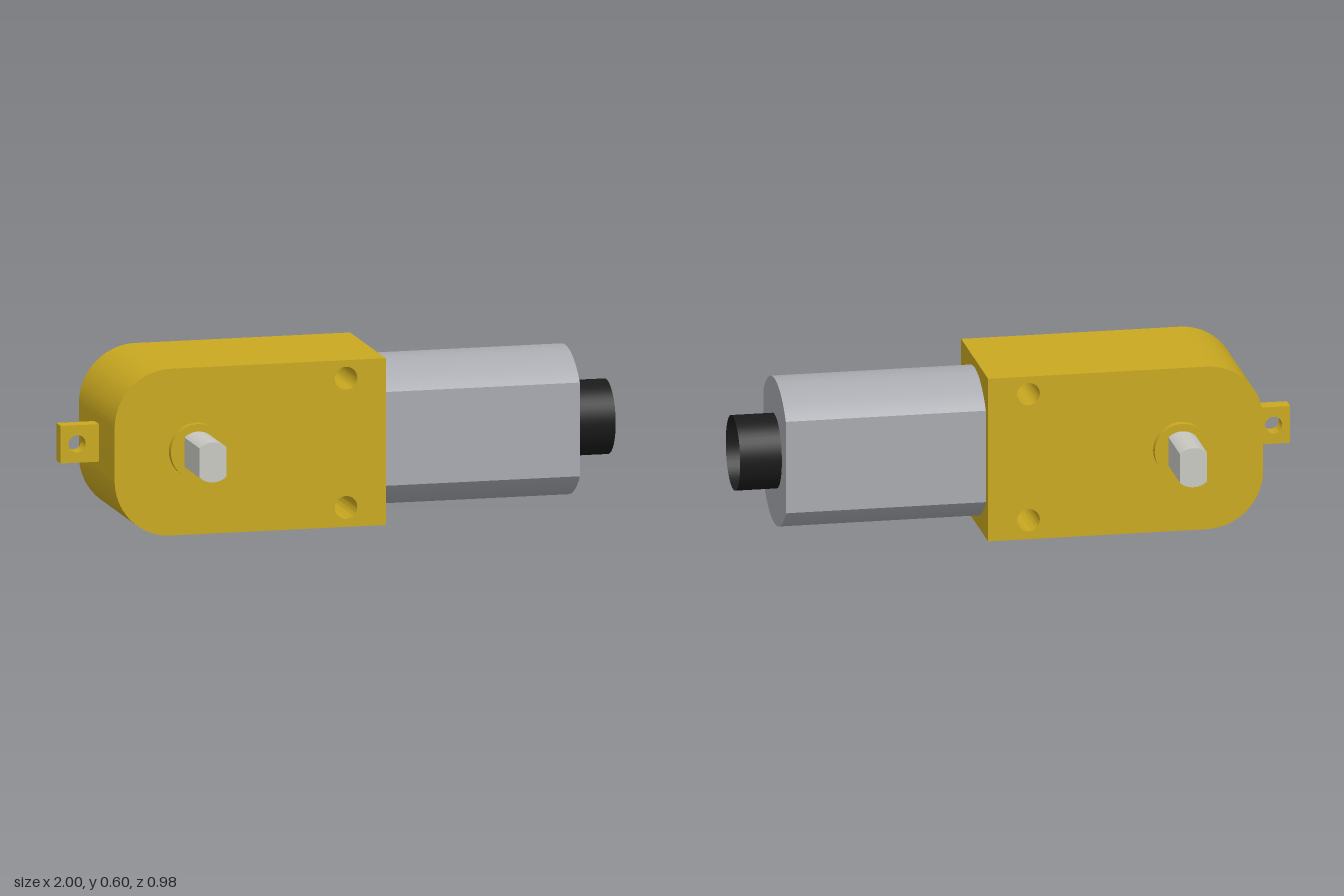
import * as THREE from 'three';
import { toCreasedNormals } from 'three/addons/utils/BufferGeometryUtils.js';

const MID = 0.303; // height of the main axis

const mat = (name, color, extra = {}) => {
  const m = new THREE.MeshStandardMaterial({ color, ...extra });
  m.name = name;
  return m;
};

// Extrude a shape along z, centred on z = 0, smooth on curves and sharp on edges
function slab(shape, depth) {
  const g = new THREE.ExtrudeGeometry(shape, { depth, bevelEnabled: false, curveSegments: 24 });
  g.translate(0, 0, -depth / 2);
  return toCreasedNormals(g, 0.5);
}

// Circle of radius r cut by two flats at x = -w and x = w
function doubleFlat(r, w) {
  const a = Math.acos(w / r);
  const s = new THREE.Shape();
  s.absarc(0, 0, r, a, Math.PI - a, false);
  s.absarc(0, 0, r, Math.PI + a, 2 * Math.PI - a, false);
  s.closePath();
  return s;
}

function addHole(shape, x, y, r) {
  const h = new THREE.Path();
  h.absarc(x, y, r, 0, Math.PI * 2, true);
  shape.holes.push(h);
}

export function createModel() {
  const model = new THREE.Group();
  model.name = 'gearMotor';
  const yellow = mat('yellow plastic', 0xc9a820);
  const steel = mat('motor steel', 0xa8aaaf);
  const pale = mat('shaft grey', 0xc8c8c1);
  const black = mat('black cap', 0x1a1a1a, { side: THREE.DoubleSide });

  const add = (name, geometry, material, x = 0, y = 0, z = 0) => {
    const m = new THREE.Mesh(geometry, material);
    m.name = name;
    m.position.set(x, y, z);
    model.add(m);
    return m;
  };

  // Gearbox housing with rounded end and two through holes
  const L = -0.86, R = 0.13, H = 0.6, c = 0.205;
  const box = new THREE.Shape();
  box.moveTo(R, 0);
  box.lineTo(R, H);
  box.lineTo(L + c, H);
  box.absarc(L + c, H - c, c, Math.PI / 2, Math.PI, false);
  box.absarc(L + c, c, c, Math.PI, Math.PI * 1.5, false);
  box.closePath();
  for (const y of [0.07, 0.535]) addHole(box, -0.015, y, 0.041);
  add('gearboxHousing', slab(box, 0.5), yellow);

  // Mounting tab with its hole
  const tab = new THREE.Shape();
  tab.moveTo(-1, 0.235);
  tab.lineTo(L, 0.235);
  tab.lineTo(L, 0.37);
  tab.lineTo(-1, 0.37);
  tab.closePath();
  addHole(tab, -0.94, MID, 0.031);
  add('mountingTab', slab(tab, 0.062), yellow);

  // Bosses on both sides and the output shaft through them
  for (const s of [1, -1]) {
    const boss = new THREE.CylinderGeometry(0.099, 0.099, 0.028, 48);
    boss.rotateX(Math.PI / 2);
    add(s > 0 ? 'frontBoss' : 'backBoss', boss, yellow, -0.563, MID, s * 0.264);
  }
  add('outputShaft', slab(doubleFlat(0.072, 0.049), 0.98), pale, -0.563, MID);

  // Motor can with two flat sides
  const can = slab(doubleFlat(0.267, 0.207), 0.72);
  can.rotateY(Math.PI / 2);
  add('motorCan', can, steel, 0.49, 0.301);

  // Open black collar at the motor's end
  const collar = new THREE.CylinderGeometry(0.134, 0.134, 0.15, 48, 1, true);
  collar.rotateZ(Math.PI / 2);
  add('endCollar', collar, black, 0.925, MID);

  return model;
}
